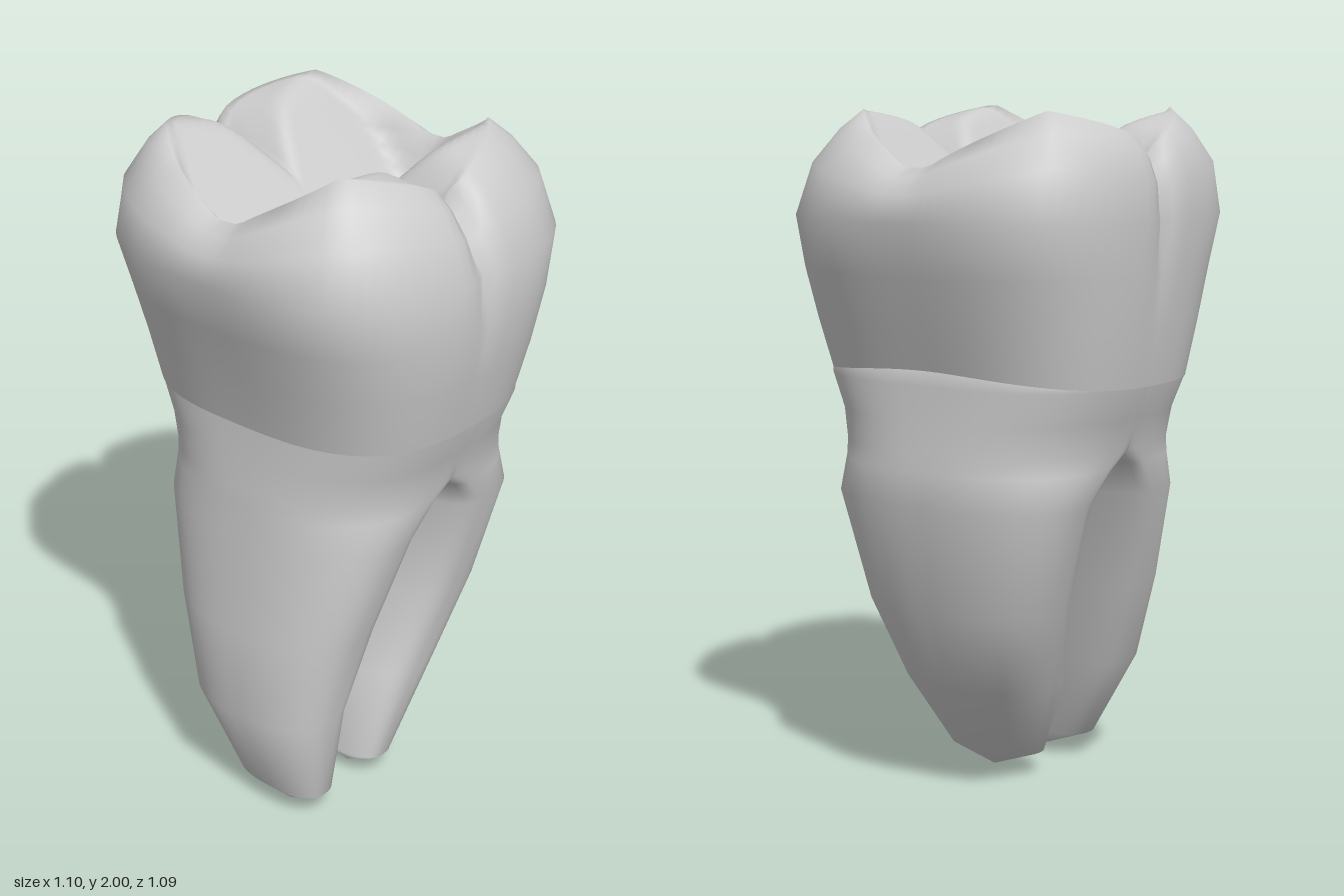
import * as THREE from 'three';

const SEG = 96;
const material = new THREE.MeshStandardMaterial({ color: 0xcccccc, side: THREE.DoubleSide });

// Skins a stack of closed rings of equal length with smooth normals
function loft(name, rings) {
  const n = rings[0].length, index = [];
  for (let r = 0; r < rings.length - 1; r++) {
    for (let i = 0; i < n; i++) {
      const j = (i + 1) % n;
      const a = r * n + i, b = r * n + j, c = a + n, d = b + n;
      index.push(a, c, b, b, c, d);
    }
  }
  const geo = new THREE.BufferGeometry();
  geo.setAttribute('position', new THREE.Float32BufferAttribute(rings.flat(2), 3));
  geo.setIndex(index);
  geo.computeVertexNormals();
  const mesh = new THREE.Mesh(geo, material);
  mesh.name = name;
  return mesh;
}

const around = (fn) => Array.from({ length: SEG }, (_, i) => fn((i / SEG) * Math.PI * 2));
const softMin = (a, b, k = 0.04) => Math.min(a, b) - Math.max(k - Math.abs(a - b), 0) ** 2 / (4 * k);

// Rounded-square outline, deeper or shallower at front and back, pinched at x = 0
function outline(t, [a, back, front, n, groove]) {
  const c = Math.cos(t), s = Math.sin(t), b = s < 0 ? back : front;
  const r = (Math.abs(c / a) ** n + Math.abs(s / b) ** n) ** (-1 / n);
  const x = r * c;
  const pinch = Math.abs(s) > 0.5 ? groove * Math.exp(-((x / 0.035) ** 2)) : 0;
  return [x, r * s - Math.sign(s) * pinch];
}

// Height of the chewing rim: four pointed cusps with dips between them
function crestY(t) {
  const q = Math.atan2(Math.abs(Math.sin(t)), Math.abs(Math.cos(t)));
  const peak = Math.sin(t) > 0 ? 0.735 : 0.845;
  const f = q < peak
    ? Math.max(0, (q / peak - 0.12) / 0.88) ** 0.9
    : Math.max(0, (Math.PI / 2 - q) / (Math.PI / 2 - peak)) ** 0.4;
  return 1.845 + 0.155 * f;
}

// Chewing surface: cusp slopes, end ridges and the wedge-shaped cross groove
function basinY(x, z) {
  const ax = Math.abs(x), az = z < 0 ? -z * 0.92 : z * 1.14;
  const cusp = 1.66 + 1.05 * az;
  const endRidge = 1.66 + 1.95 * (ax - 0.34) + 0.56 * az;
  const wedge = 1.795 + 0.14 * az + 1.2 * ax;
  return softMin(-softMin(-cusp, -endRidge), wedge);
}

function makeCrown() {
  const neck = [0.415, 0.487, 0.495, 2.9, 0];
  const neckY = (t) => 1.235 + 0.05 * Math.max(0, Math.cos(t)) ** 2;
  const ring = (shape, height) => around((t) => {
    const [x, z] = outline(t, shape);
    return [x, height(t), z];
  });
  // narrow lip under the crown, with a doubled ring for a crisp edge
  const rings = [ring([0.39, 0.46, 0.47, 2.9, 0], neckY), ring(neck, neckY), ring(neck, neckY)];
  // bulging wall
  rings.push(
    ring([0.455, 0.515, 0.53, 2.9, 0], () => 1.4),
    ring([0.505, 0.53, 0.55, 2.9, 0.008], () => 1.55),
    ring([0.55, 0.545, 0.545, 3, 0.03], () => 1.7),
  );
  // shoulder rising to the cusps
  const rise = (f) => (t) => 1.7 + (crestY(t) - 1.7) * f;
  const crest = [0.44, 0.485, 0.4, 2, 0.03];
  rings.push(
    ring([0.53, 0.54, 0.5, 2.75, 0.04], rise(0.5)),
    ring([0.487, 0.515, 0.45, 2.25, 0.04], rise(0.82)),
    ring(crest, crestY),
  );
  // basin between the cusps
  for (let k = 19; k >= 0; k--) {
    const s = k / 20;
    rings.push(around((t) => {
      const [x, z] = outline(t, crest);
      return [x * s, softMin(crestY(t), basinY(x * s, z * s)), z * s];
    }));
  }
  return loft('crown', rings);
}

// Root rows: y, inner x, widest x, outer x, back z, front z, roundness (x measured towards its own side)
function makeRoot(name, side, rows) {
  return loft(name, rows.map(([y, xi, xs, xo, zb, zf, p = 0.85]) => around((t) => {
    const c = Math.cos(t), s = Math.sin(t * side);
    // the inner side is flatter than the outer one
    const x = c > 0 ? xs + (xo - xs) * c ** p : xs - (xs - xi) * Math.abs(c) ** 0.65;
    const z = (zb + zf) / 2 + ((zf - zb) / 2) * Math.sign(s) * Math.abs(s) ** p;
    return [side * x, y, z];
  })));
}

export function createModel() {
  const group = new THREE.Group();
  group.name = 'molarTooth';
  group.add(makeCrown());

  // shared trunk, where both roots overlap below the crown
  const trunk = [
    [0.9, 0.045, 0.2, 0.445, -0.39, 0.41],
    [1.0, -0.005, 0.1, 0.438, -0.41, 0.425],
    [1.05, -0.1, 0.05, 0.432, -0.42, 0.435, 0.82],
    [1.14, -0.2, 0.02, 0.422, -0.443, 0.452, 0.76],
    [1.24, -0.2, 0.01, 0.414, -0.485, 0.493, 0.69],
    [1.29, -0.2, 0.01, 0.411, -0.485, 0.492, 0.69],
    [1.34, -0.2, 0.01, 0.37, -0.43, 0.44, 0.69],
  ];
  // nearly straight root
  group.add(makeRoot('rightRoot', -1, [
    [0, 0.36, 0.36, 0.36, 0.13, 0.13],
    [0.07, 0.27, 0.36, 0.43, -0.05, 0.26],
    [0.33, 0.21, 0.34, 0.5, -0.2, 0.28],
    [0.6, 0.125, 0.29, 0.48, -0.295, 0.335],
    ...trunk,
  ]));
  // root that curves inwards
  group.add(makeRoot('leftRoot', 1, [
    [0, -0.1, -0.1, -0.1, 0.13, 0.13],
    [0.07, -0.16, -0.08, 0.0, -0.05, 0.26],
    [0.33, -0.09, 0.07, 0.25, -0.2, 0.28],
    [0.58, 0.01, 0.17, 0.38, -0.29, 0.33],
    ...trunk,
  ]));
  return group;
}
